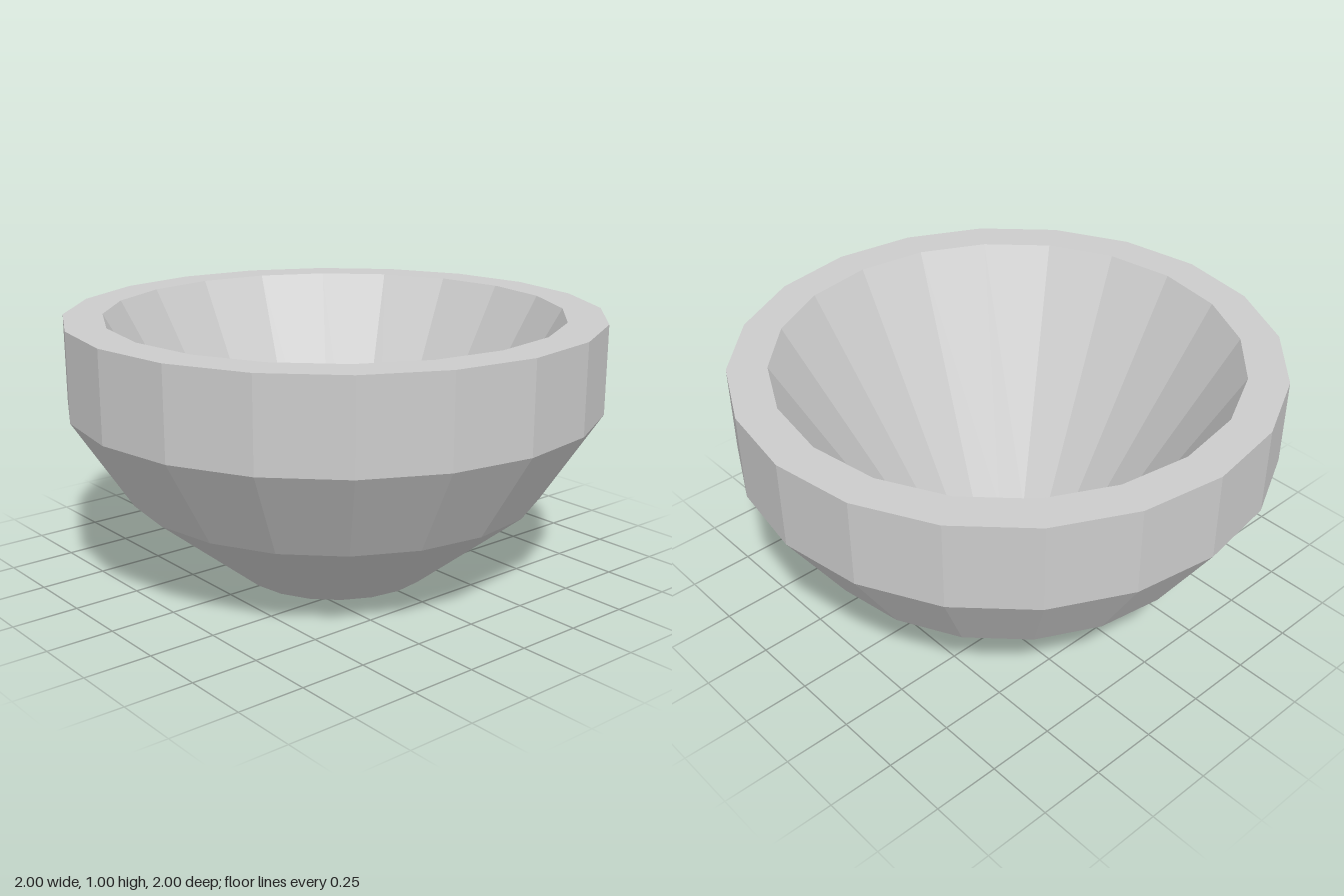
import * as THREE from 'three';

const SIDES = 20;

export function createModel() {
  const group = new THREE.Group();
  group.name = 'bowl';
  const material = new THREE.MeshStandardMaterial({ color: 0xcccccc, flatShading: true });

  // Closed profile: underside, three outer bands, flat rim, inner wall, floor
  const profile = [
    [0, 0], [0.37, 0], [0.785, 0.335], [1, 0.67], [1, 1],
    [0.855, 1], [0.33, 0.05], [0, 0.05],
  ].map(([r, y]) => new THREE.Vector2(r, y));

  const bowl = new THREE.Mesh(new THREE.LatheGeometry(profile, SIDES), material);
  bowl.name = 'bowlShell';
  group.add(bowl);
  return group;
}
